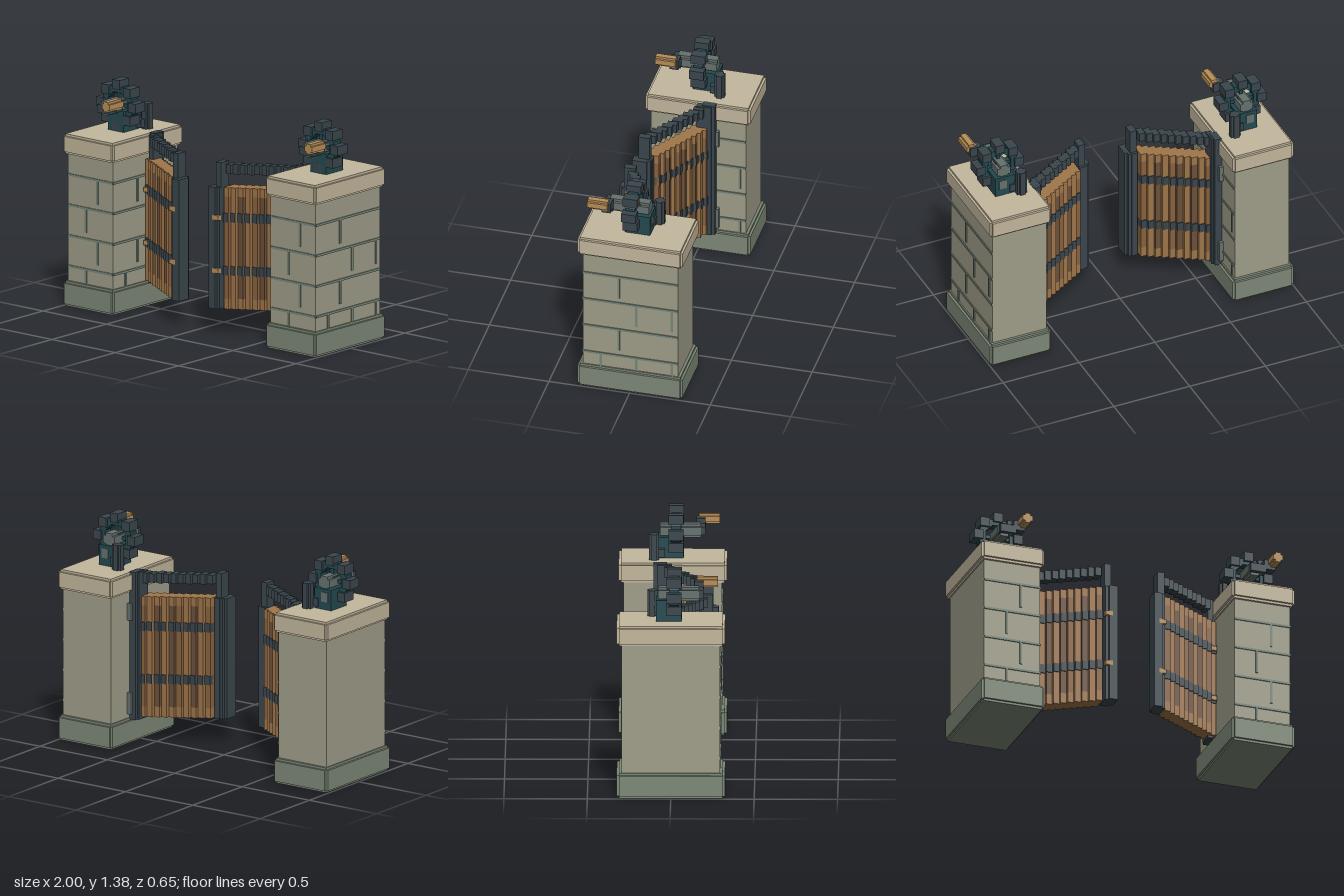
import * as THREE from 'three';

const mats = {};
const mat = (color) => (mats[color] ??= new THREE.MeshStandardMaterial({ color, flatShading: true }));
const STONE = 0xa09e8a, MORTAR = 0x76877a, CAP = 0xc3b79d, PLINTH = 0x7d8877;
const IRON = 0x3a464d, TEAL = 0x234a50, STEEL = 0x66726f;
const WOOD = 0xa0764a, WOOD_MID = 0x8a633f, WOOD_DARK = 0x6c5039, GRIP = 0xb98f58;

// Box given by its centre and size
function box(parent, name, color, x, y, z, w, h, d) {
  const m = new THREE.Mesh(new THREE.BoxGeometry(w, h, d), mat(color));
  m.position.set(x, y, z);
  m.name = name;
  parent.add(m);
  return m;
}

// Slab with one-step notched edges: three boxes, each full length on one axis
function notchedSlab(parent, name, color, y0, y1, w, d, n) {
  const y = (y0 + y1) / 2, h = y1 - y0;
  const g = new THREE.Group();
  g.name = name;
  box(g, name, color, 0, y, 0, w, h - 2 * n, d - 2 * n);
  box(g, name, color, 0, y, 0, w - 2 * n, h, d - 2 * n);
  box(g, name, color, 0, y, 0, w - 2 * n, h - 2 * n, d);
  parent.add(g);
}

function pillar() {
  const g = new THREE.Group();
  g.name = 'pillar';
  notchedSlab(g, 'plinth', PLINTH, 0, 0.155, 0.4, 0.65, 0.014);
  box(g, 'stoneShaft', STONE, 0, 0.548, 0, 0.356, 0.79, 0.59);
  notchedSlab(g, 'capStone', CAP, 0.94, 1.062, 0.4, 0.65, 0.014);

  // Mortar joints on the front and +x faces
  const t = 0.012, fx = 0.178, fz = 0.295;
  for (const y of [0.245, 0.433, 0.622, 0.81]) {
    box(g, 'mortarCourse', MORTAR, 0, y, fz, 0.356, 0.014, t);
    box(g, 'mortarCourse', MORTAR, fx, y, 0, t, 0.014, 0.59);
  }
  const rows = [
    [0.155, 0.245, -0.035, [0.183, -0.037, -0.257]],
    [0.285, 0.433, 0.055, [0.073]],
    [0.472, 0.622, -0.035, [-0.037, -0.257]],
    [0.66, 0.81, 0.055, [0.073]],
  ];
  for (const [y0, y1, x, zs] of rows) {
    const y = (y0 + y1) / 2, h = y1 - y0;
    box(g, 'mortarJoint', MORTAR, x, y, fz, 0.014, h, t);
    for (const z of zs) box(g, 'mortarJoint', MORTAR, fx, y, z, t, h, 0.014);
  }
  return g;
}

// Gear winch with a crank; s puts the rear post on the gate side
function winch(s) {
  const g = new THREE.Group();
  g.name = 'winch';
  const cy = 1.222, cz = 0.02;
  box(g, 'bearingBlock', TEAL, 0, 1.125, -0.013, 0.125, 0.13, 0.155);
  box(g, 'bearingPlate', STEEL, -s * 0.015, 1.14, -0.092, 0.05, 0.06, 0.008);

  // Eight-sided rim with an opening
  const octagon = (path, r) => {
    for (let i = 0; i < 8; i++) {
      const a = (i + 0.5) * Math.PI / 4;
      path[i ? 'lineTo' : 'moveTo'](r * Math.cos(a), r * Math.sin(a));
    }
    path.closePath();
    return path;
  };
  const rim = octagon(new THREE.Shape(), 0.122);
  rim.holes.push(octagon(new THREE.Path(), 0.082));
  const ring = new THREE.Mesh(
    new THREE.ExtrudeGeometry(rim, { depth: 0.06, bevelEnabled: false }), mat(TEAL));
  ring.name = 'gearRim';
  ring.position.set(0, cy, cz - 0.03);
  g.add(ring);

  // Teeth, spokes and hub
  for (let i = 0; i < 8; i++) {
    const a = i * Math.PI / 4, r = i % 2 ? 0.121 : 0.126;
    box(g, 'gearTooth', IRON, r * Math.cos(a), cy + r * Math.sin(a), cz, 0.058, 0.058, 0.09);
  }
  box(g, 'gearSpoke', TEAL, 0, cy, cz, 0.18, 0.022, 0.035);
  box(g, 'gearSpoke', TEAL, 0, cy, cz, 0.022, 0.18, 0.035);
  box(g, 'gearHub', IRON, 0, cy, cz, 0.06, 0.06, 0.09);

  // Axle with a stepped round section
  box(g, 'axle', STEEL, 0, cy, 0.045, 0.084, 0.05, 0.245);
  box(g, 'axle', STEEL, 0, cy, 0.045, 0.05, 0.084, 0.245);

  // Crank arm and wooden grip
  box(g, 'crankArm', IRON, 0.015, 1.222, 0.168, 0.1, 0.05, 0.055);
  box(g, 'crankArm', IRON, 0.085, 1.25, 0.168, 0.07, 0.06, 0.055);
  box(g, 'crankGrip', GRIP, 0.107, 1.268, 0.218, 0.062, 0.034, 0.125);
  box(g, 'crankGrip', GRIP, 0.107, 1.268, 0.218, 0.034, 0.062, 0.125);

  // Rear stop post
  box(g, 'stopPost', IRON, s * 0.095, 1.14, -0.112, 0.062, 0.16, 0.034);
  box(g, 'stopPost', IRON, s * 0.095, 1.14, -0.112, 0.034, 0.16, 0.06);
  box(g, 'stopBracket', IRON, s * 0.065, 1.1, -0.075, 0.07, 0.05, 0.05);
  return g;
}

// Half-open gate leaf, stepped column by column; side is -1 or 1
function gate(side) {
  const g = new THREE.Group();
  g.name = 'gateLeaf';
  const step = 0.0375;
  const zAt = (x) => -0.04 + (0.59 - x) * 0.602;
  const column = (name, color, x, y0, y1, w, d, dz = 0) =>
    box(g, name, color, side * x, (y0 + y1) / 2, zAt(x) + dz, w, y1 - y0, d);

  const tones = [WOOD, WOOD_MID, WOOD, WOOD_DARK, WOOD, WOOD_DARK, WOOD_MID, WOOD, WOOD_DARK, WOOD, WOOD_MID];
  tones.forEach((tone, i) => {
    const x = 0.593 - i * step;
    // Plank: pale ends with a toned middle
    column('plankEnd', WOOD, x, 0.16, 0.225, step, 0.1);
    column('plank', tone, x, 0.225, 0.855, step, 0.1);
    column('plankEnd', WOOD, x, 0.855, 0.91, step, 0.1);
    // Iron straps on both faces
    for (const y of [0.397, 0.725]) column('ironStrap', IRON, x, y - 0.028, y + 0.028, step, 0.112);
    // Top rail with alternating ribs
    const b = i % 2 ? 0.004 : 0;
    column('topRail', IRON, x, 0.993 - b, 1.048 + b, step, 0.062);
  });

  // Latch stile: full-width lower part and a slim upright to the rail
  column('latchStile', IRON, 0.172, 0.16, 0.91, 0.0375, 0.1);
  column('latchStile', IRON, 0.135, 0.16, 0.91, 0.0375, 0.09);
  column('latchStile', IRON, 0.152, 0.16, 0.91, 0.036, 0.112);
  column('latchUpright', IRON, 0.17, 0.91, 1.062, 0.042, 0.07);

  // Hinge stile on the rear edge, with steel hinge plates
  column('hingeStile', IRON, 0.597, 0.145, 1.065, 0.045, 0.08, -0.03);
  column('hingeStile', IRON, 0.58, 0.145, 1.06, 0.034, 0.09, -0.015);
  for (const [y0, y1] of [[0.18, 0.315], [0.765, 0.87]]) {
    column('hingePlate', STEEL, 0.61, y0, y1, 0.03, 0.09, -0.035);
  }

  // Brass-toned strap bolts
  for (const y of [0.397, 0.725]) {
    for (const x of [0.588, 0.17]) column('strapBolt', GRIP, x, y - 0.014, y + 0.014, 0.045, 0.03, 0.052);
  }
  return g;
}

export function createModel() {
  const model = new THREE.Group();
  model.name = 'gateway';
  for (const side of [-1, 1]) {
    const p = pillar(), w = winch(-side);
    p.position.x = w.position.x = side * 0.8;
    model.add(p, w, gate(side));
  }
  return model;
}
